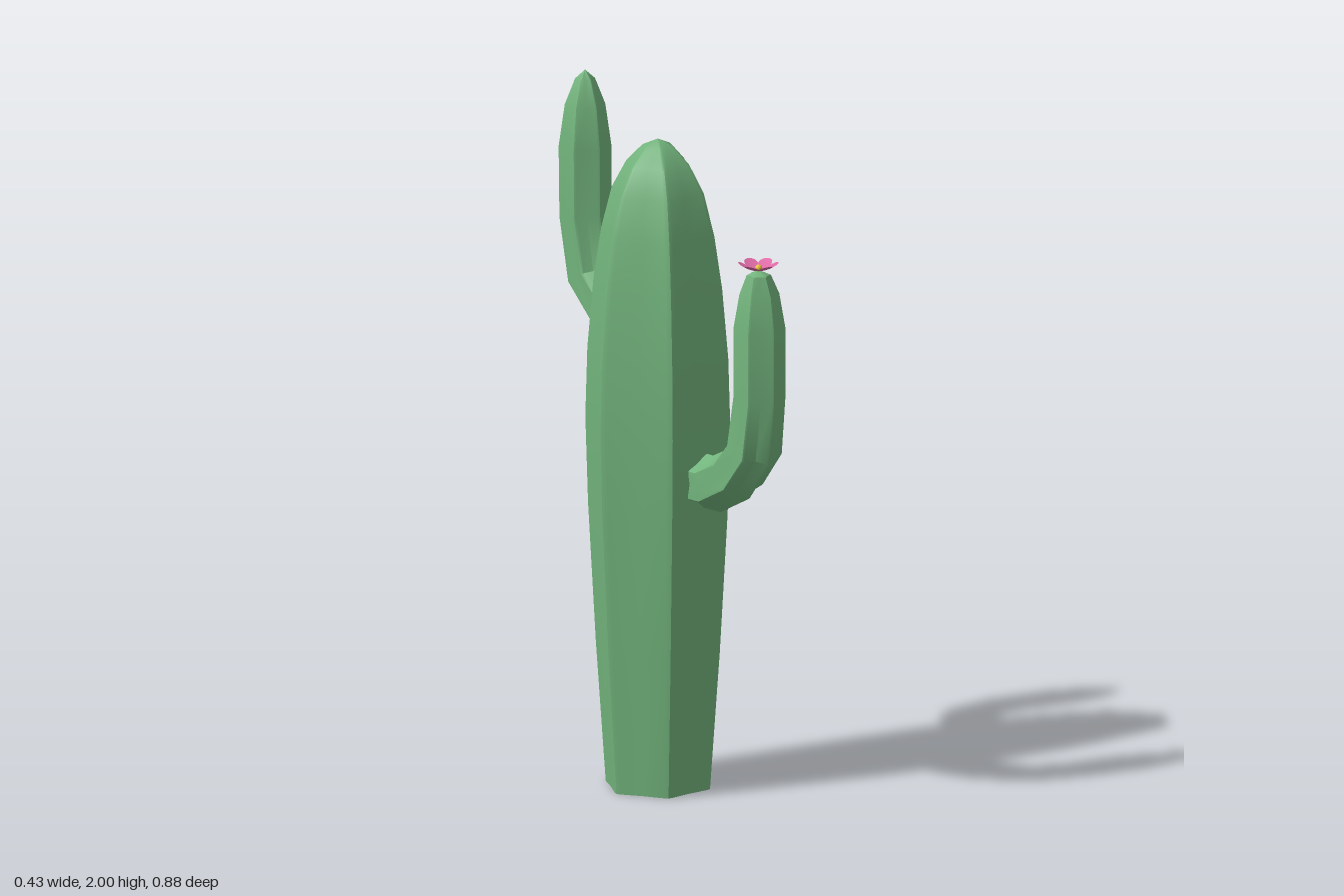
import * as THREE from 'three';
import { toCreasedNormals } from 'three/addons/utils/BufferGeometryUtils.js';

const green = new THREE.MeshStandardMaterial({ color: 0x72b37c });
const pink = new THREE.MeshStandardMaterial({ color: 0xdd6aa5, side: THREE.DoubleSide });
const yellow = new THREE.MeshStandardMaterial({ color: 0xe3c235 });

const RIBS = 6;

// One rib: crest, blunt shoulder, valley, blunt shoulder
function ribSection(turn, valley) {
  const section = [];
  for (let i = 0; i < RIBS; i++) {
    const a = turn + (i * Math.PI * 2) / RIBS;
    section.push([a, 1], [a + 0.08, 0.972], [a + Math.PI / RIBS, valley], [a + Math.PI * 2 / RIBS - 0.08, 0.972]);
  }
  return section;
}

// Ribbed stem swept along stations [x, y, z, radius, valley ratio]; radius 0 is a pole
function ribbedStem(name, stations, turn) {
  const centres = stations.map(s => new THREE.Vector3(s[0], s[1], s[2]));
  const side = new THREE.Vector3(1, 0, 0);
  const n = RIBS * 4;
  const last = stations.length - 1;
  const positions = [];
  const indices = [];
  stations.forEach(([, , , radius, valley = 0.79], i) => {
    const tangent = centres[Math.min(i + 1, last)].clone().sub(centres[Math.max(i - 1, 0)]).normalize();
    const up = side.clone().cross(tangent).normalize();
    for (const [a, k] of ribSection(turn, valley)) {
      const p = centres[i].clone()
        .addScaledVector(side, Math.cos(a) * k * radius)
        .addScaledVector(up, Math.sin(a) * k * radius);
      positions.push(p.x, p.y, p.z);
    }
  });
  for (let i = 0; i < last; i++) {
    for (let j = 0; j < n; j++) {
      const a = i * n + j, b = i * n + (j + 1) % n;
      if (stations[i][3] > 0) indices.push(a, a + n, b);
      if (stations[i + 1][3] > 0) indices.push(b, a + n, b + n);
    }
  }
  const geometry = new THREE.BufferGeometry();
  geometry.setAttribute('position', new THREE.Float32BufferAttribute(positions, 3));
  geometry.setIndex(indices);
  const mesh = new THREE.Mesh(toCreasedNormals(geometry, 0.62), green);
  mesh.name = name;
  return mesh;
}

// Teardrop petal pointing along +x, narrow at its root and curling upward
function petalGeometry() {
  const geometry = new THREE.CircleGeometry(1, 16);
  geometry.rotateX(-Math.PI / 2);
  const pos = geometry.attributes.position;
  for (let i = 0; i < pos.count; i++) {
    const t = (pos.getX(i) + 1) / 2;
    const w = pos.getZ(i) * (0.55 + 0.6 * t);
    pos.setXYZ(i, 0.004 + 0.053 * t, 0.022 * t * t + 0.004 * w * w, 0.023 * w);
  }
  geometry.computeVertexNormals();
  return geometry;
}

function flower() {
  const group = new THREE.Group();
  group.name = 'flower';
  const geometry = petalGeometry();
  for (let i = 0; i < 6; i++) {
    const petal = new THREE.Mesh(geometry, pink);
    petal.name = 'petal';
    petal.rotation.y = Math.PI / 2 + (i * Math.PI) / 3 - 0.06;
    group.add(petal);
  }
  const heart = new THREE.Mesh(new THREE.SphereGeometry(0.01, 12, 8), yellow);
  heart.name = 'flowerHeart';
  heart.position.y = 0.006;
  group.add(heart);
  return group;
}

export function createModel() {
  const model = new THREE.Group();
  model.name = 'cactus';

  // Trunk: [height, radius, valley ratio]
  const trunk = [
    [0, 0, 0.86], [0, 0.154, 0.86], [0.4, 0.183, 0.83], [0.8, 0.206, 0.8], [1.05, 0.214, 0.79],
    [1.25, 0.208, 0.79], [1.45, 0.19, 0.79], [1.6, 0.167, 0.8], [1.72, 0.136, 0.82],
    [1.8, 0.093, 0.84], [1.85, 0.045, 0.86], [1.87, 0, 0.86],
  ].map(([y, r, v]) => [0, y, -0.035, r, v]);
  model.add(ribbedStem('trunk', trunk, -0.115));

  // Arms leave the trunk and bend upright, with one rib along the bend
  const frontArm = [
    [0.045, 0.905, 0.05, 0], [0.045, 0.905, 0.05, 0.08], [0.052, 0.91, 0.18, 0.08],
    [0.056, 0.96, 0.28, 0.079], [0.062, 1.045, 0.35, 0.078], [0.065, 1.2, 0.37, 0.073],
    [0.065, 1.4, 0.37, 0.073], [0.065, 1.5, 0.37, 0.056], [0.063, 1.555, 0.37, 0.034],
    [0.062, 1.57, 0.37, 0],
  ];
  const backArm = [
    [-0.02, 1.265, -0.12, 0], [-0.02, 1.265, -0.12, 0.07], [-0.02, 1.335, -0.225, 0.07],
    [-0.02, 1.415, -0.325, 0.072], [-0.02, 1.58, -0.362, 0.073], [-0.02, 1.78, -0.364, 0.074],
    [-0.02, 1.9, -0.364, 0.057], [-0.02, 1.975, -0.364, 0.028], [-0.02, 2, -0.364, 0],
  ];
  model.add(ribbedStem('frontArm', frontArm, Math.PI / 6));
  model.add(ribbedStem('backArm', backArm, Math.PI / 6));

  const bloom = flower();
  bloom.position.set(0.062, 1.569, 0.37);
  model.add(bloom);
  return model;
}
